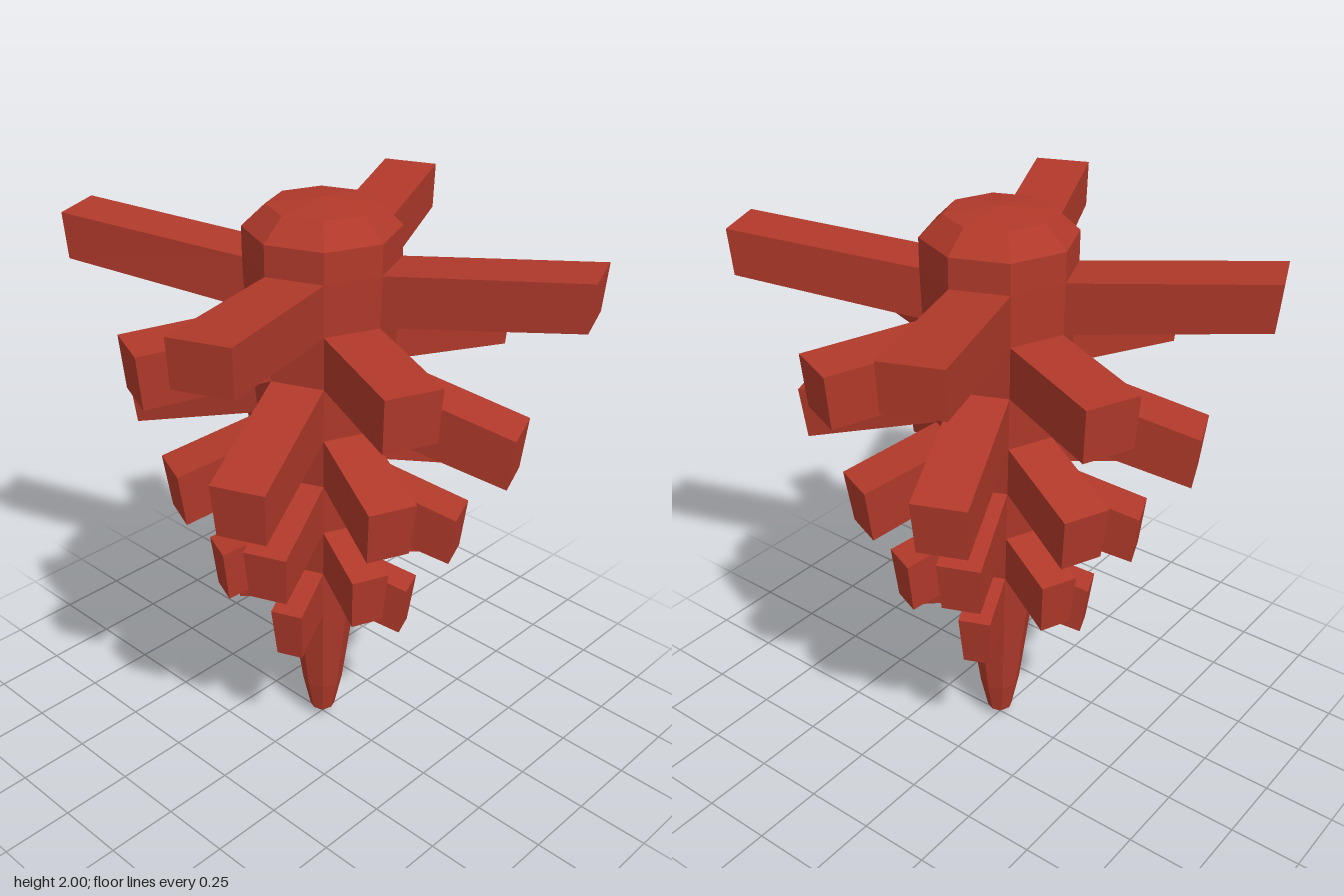
import * as THREE from 'three';

const material = new THREE.MeshStandardMaterial({ color: 0xb0392a, flatShading: true });

// Core profile from tip to crown: [radius, y]
const CORE = [
  [0, 0.005], [0.045, 0.045], [0.072, 0.17], [0.12, 0.53], [0.144, 0.72], [0.168, 0.9], [0.19, 1.09],
  [0.212, 1.27], [0.232, 1.46], [0.245, 1.64], [0.25, 1.81], [0.25, 1.91], [0.175, 1.98], [0, 2],
];

// Tiers of four arms: [turn side, root bottom, root top, tip bottom, tip top, reach bottom, reach top]
const TIERS = [
  [-1, 1.64, 1.81, 1.72, 1.875, 0.858, 0.87],
  [1, 1.46, 1.64, 1.44, 1.62, 0.63, 0.645],
  [-1, 1.27, 1.46, 1.15, 1.33, 0.655, 0.675],
  [1, 1.09, 1.27, 0.995, 1.18, 0.51, 0.535],
  [-1, 0.9, 1.09, 0.82, 0.995, 0.475, 0.495],
  [1, 0.72, 0.9, 0.655, 0.84, 0.37, 0.39],
  [-1, 0.53, 0.72, 0.48, 0.665, 0.305, 0.33],
];

const radiusAt = (y) => CORE.find((p) => p[1] === y)[0];

// A box whose root lies on one face of the octagonal core
function armGeometry([, rootLow, rootHigh, tipLow, tipHigh, reachLow, reachHigh]) {
  const geometry = new THREE.BoxGeometry(1, 1, 1);
  const p = geometry.attributes.position;
  for (let i = 0; i < p.count; i++) {
    const outer = p.getX(i) > 0, upper = p.getY(i) > 0;
    const r = radiusAt(upper ? rootHigh : rootLow);
    const x = outer ? (upper ? reachHigh : reachLow) : r * Math.cos(Math.PI / 8);
    const y = outer ? (upper ? tipHigh : tipLow) : (upper ? rootHigh : rootLow);
    p.setXYZ(i, x, y, Math.sign(p.getZ(i)) * r * Math.sin(Math.PI / 8));
  }
  geometry.computeVertexNormals();
  return geometry;
}

export function createModel() {
  const model = new THREE.Group();
  model.name = 'spikedCone';

  // Tapered octagonal core with a domed crown
  const core = new THREE.Mesh(
    new THREE.LatheGeometry(CORE.map(([r, y]) => new THREE.Vector2(r, y)), 8), material);
  core.name = 'core';
  model.add(core);

  // Alternating tiers of arms
  TIERS.forEach((tier, t) => {
    const group = new THREE.Group();
    group.name = `armTier${t + 1}`;
    const geometry = armGeometry(tier);
    for (let k = 0; k < 4; k++) {
      const arm = new THREE.Mesh(geometry, material);
      arm.name = 'arm';
      arm.rotation.y = -(tier[0] * Math.PI / 8 + k * Math.PI / 2);
      group.add(arm);
    }
    model.add(group);
  });
  return model;
}
